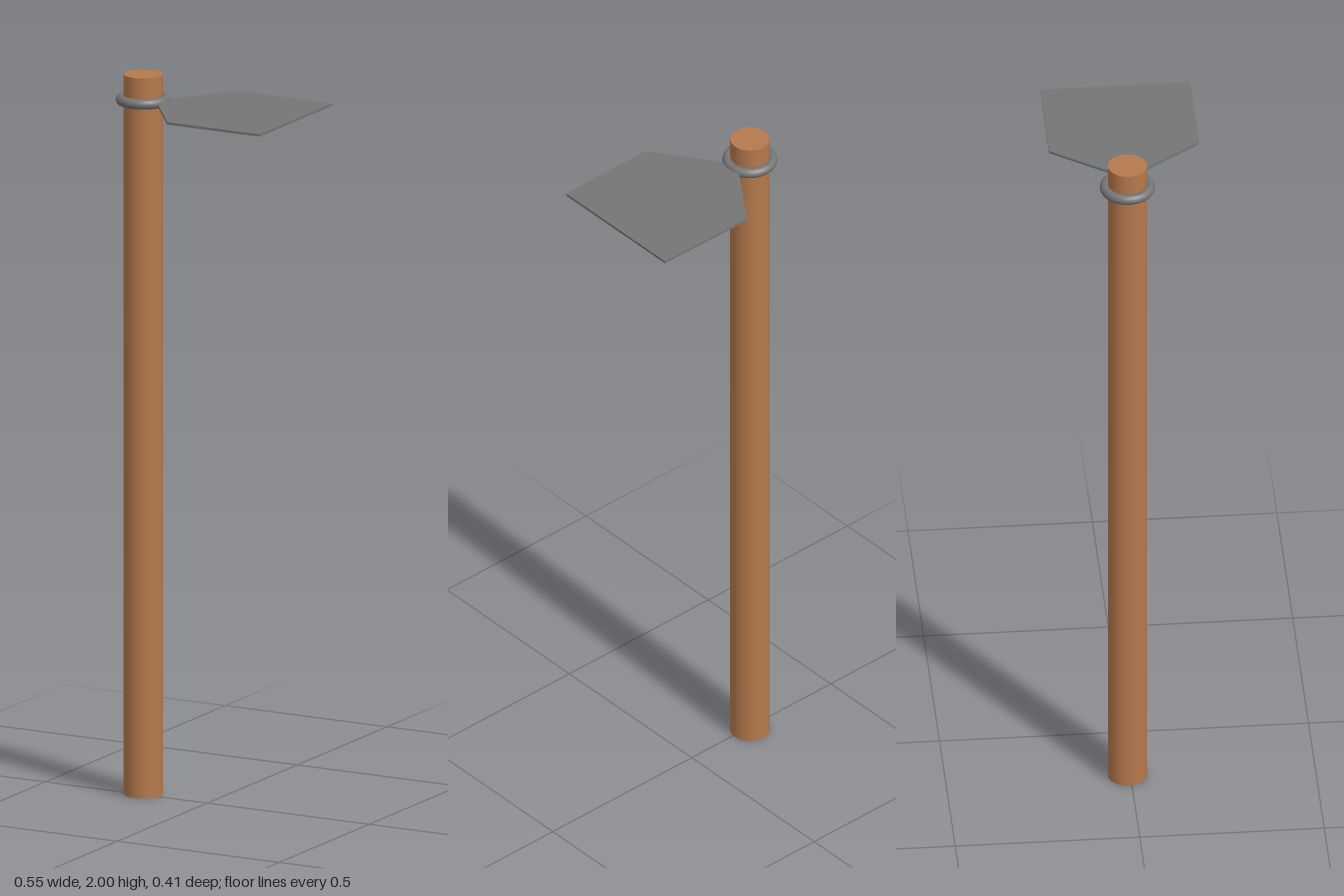
import * as THREE from 'three';

const WOOD = 0xb5794c;
const STEEL = 0x757575;
const POLE = { x: -0.202, z: -0.008, radius: 0.053, height: 2 };
const HEAD_Y = 1.93;

function part(name, geometry, color) {
  const mesh = new THREE.Mesh(geometry, new THREE.MeshStandardMaterial({ color }));
  mesh.name = name;
  return mesh;
}

export function createModel() {
  const model = new THREE.Group();
  model.name = 'hoe';

  // Round wooden handle
  const handle = part('handle',
    new THREE.CylinderGeometry(POLE.radius, POLE.radius, POLE.height, 48), WOOD);
  handle.position.set(POLE.x, POLE.height / 2, POLE.z);

  // Metal collar around the handle
  const collar = part('collar', new THREE.TorusGeometry(0.0605, 0.014, 20, 64), STEEL);
  collar.rotation.x = Math.PI / 2;
  collar.position.set(POLE.x, HEAD_Y, POLE.z);

  // Thin flat blade, outlined in x and z, widening away from the collar
  const thickness = 0.007;
  const outline = [
    [-0.134, -0.042], [-0.019, -0.205], [0.274, -0.202], [0.274, 0.2],
    [0.23, 0.203], [-0.011, 0.203], [-0.134, 0.034],
  ].map(([x, z]) => new THREE.Vector2(x, z));
  const bladeGeometry = new THREE.ExtrudeGeometry(new THREE.Shape(outline),
    { depth: thickness, bevelEnabled: false });
  bladeGeometry.translate(0, 0, -thickness / 2);
  bladeGeometry.rotateX(Math.PI / 2);
  const blade = part('blade', bladeGeometry, STEEL);
  blade.position.y = HEAD_Y;

  model.add(handle, collar, blade);
  return model;
}
